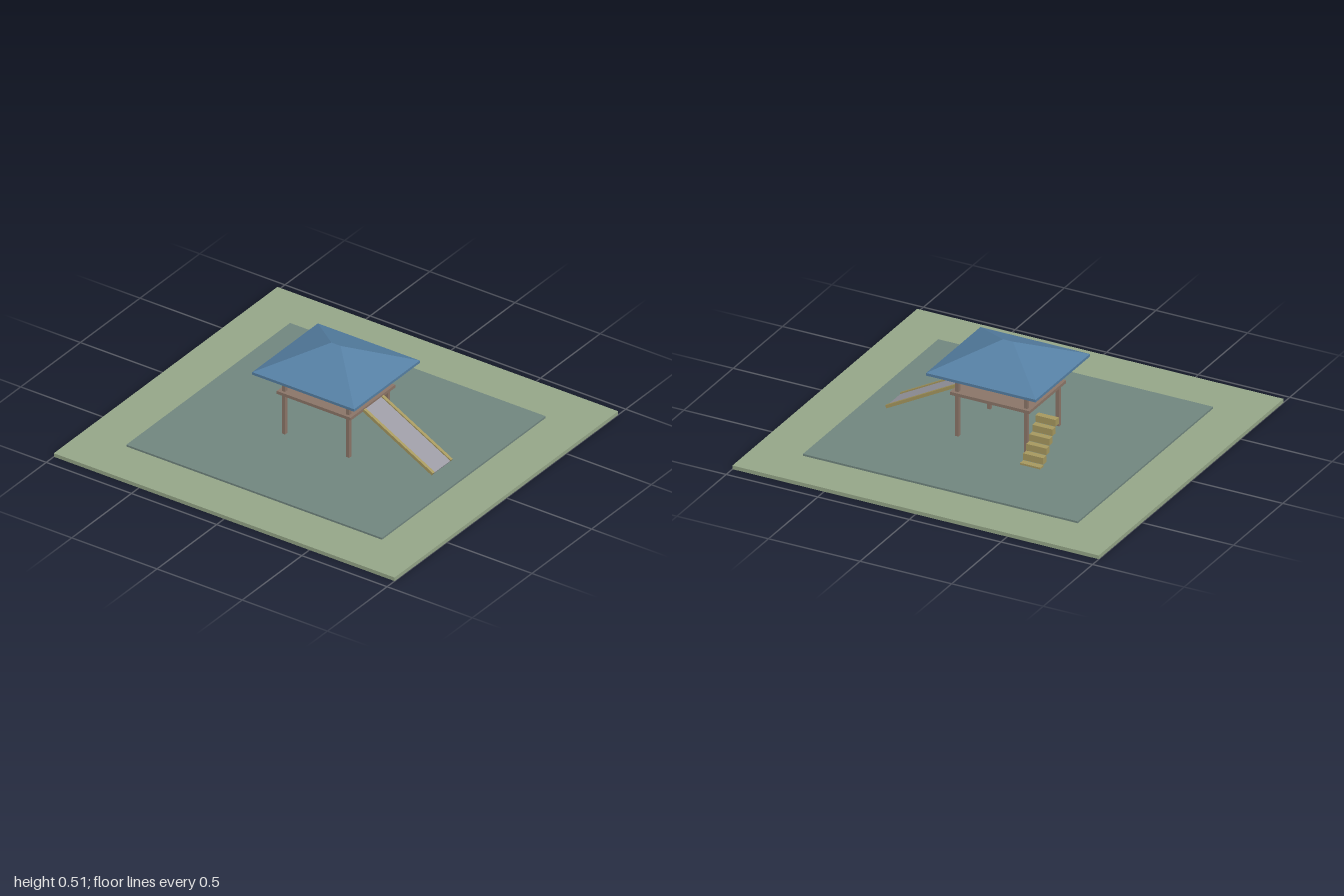
import * as THREE from 'three';

const mat = (color) => new THREE.MeshStandardMaterial({ color, flatShading: true });

export function createModel() {
  const model = new THREE.Group();
  const grass = mat(0x95a688), pad = mat(0x71867f), wood = mat(0x8b7568);
  const timber = mat(0xa6985f), blue = mat(0x557fa3), metal = mat(0x9b9aa3);

  // Box given by its size and centre
  const box = (name, material, [w, h, d], [x, y, z], parent = model) => {
    const mesh = new THREE.Mesh(new THREE.BoxGeometry(w, h, d), material);
    mesh.name = name;
    mesh.position.set(x, y, z);
    parent.add(mesh);
    return mesh;
  };

  // Ground layers
  box('lawn', grass, [2, 0.02, 1.874], [0, 0.01, 0]);
  box('playPad', pad, [1.5, 0.012, 1.372], [0, 0.024, 0]);

  // Raised deck on four posts
  box('deck', wood, [0.434, 0.016, 0.374], [0, 0.262, 0]);
  for (const sx of [-1, 1]) {
    for (const sz of [-1, 1]) {
      box('post', wood, [0.019, 0.355, 0.019], [sx * 0.188, 0.2075, sz * 0.162]);
    }
  }

  // Hipped roof: eave slab plus a box whose top is drawn in to a short ridge
  box('roofEave', blue, [0.598, 0.014, 0.55], [0, 0.384, 0]);
  const hip = new THREE.BoxGeometry(0.598, 0.124, 0.55);
  const p = hip.attributes.position;
  for (let i = 0; i < p.count; i++) {
    if (p.getY(i) > 0) p.setXYZ(i, Math.sign(p.getX(i)) * 0.028, p.getY(i), Math.sign(p.getZ(i)) * 0.001);
  }
  hip.computeVertexNormals();
  const roof = new THREE.Mesh(hip, blue);
  roof.name = 'roof';
  roof.position.y = 0.453;
  model.add(roof);

  // Slide, built level and tilted down toward +x
  const dx = 0.405, dy = -0.218, length = Math.hypot(dx, dy);
  const slide = new THREE.Group();
  slide.name = 'slide';
  slide.position.set(0.218 + dx / 2, 0.26 + dy / 2, 0);
  slide.rotation.z = Math.atan2(dy, dx);
  model.add(slide);
  box('slideBed', metal, [length, 0.008, 0.14], [0, -0.002, 0], slide);
  for (const s of [-1, 1]) box('slideRail', timber, [length, 0.016, 0.016], [0, 0, s * 0.075], slide);

  // Stairs climbing toward the deck at the back corner
  const stairs = new THREE.Group();
  stairs.name = 'stairs';
  model.add(stairs);
  for (let i = 0; i < 6; i++) {
    box('step', timber, [0.11, 0.035, 0.033], [-0.277, 0.209 - i * 0.0374, -0.118 - i * 0.0312], stairs);
  }

  return model;
}
